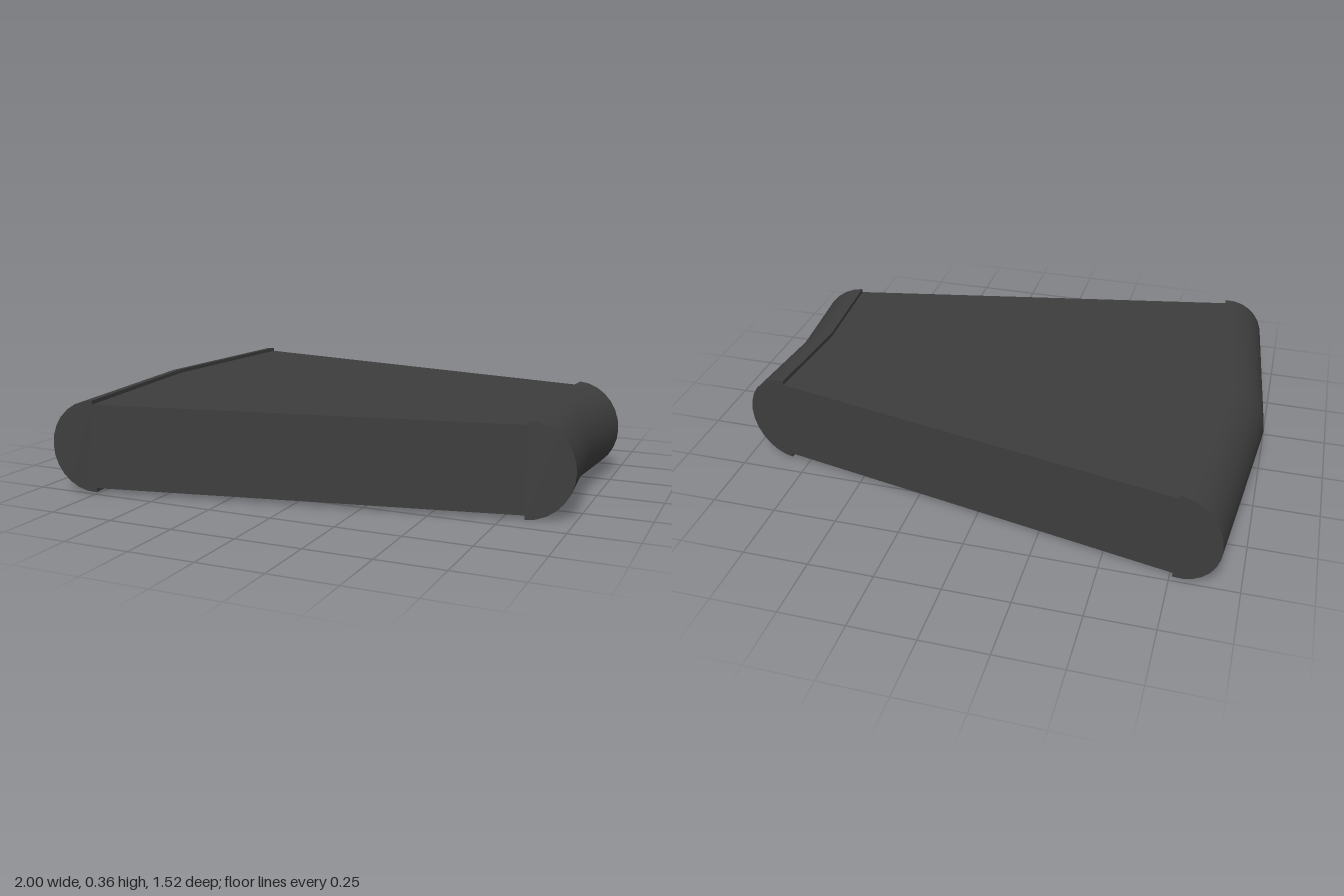
import * as THREE from 'three';
import { toCreasedNormals } from 'three/addons/utils/BufferGeometryUtils.js';

// Half width of the wedge at a given x: wide at -x, narrow at +x
const halfWidth = (x) => 0.377 + (1 - x) * 0.199;

// Lofts counter-clockwise xy profiles from the back edge through the middle to the front edge
function loft(sideProfile, midProfile) {
  const n = sideProfile.length;
  const loops = [-1, 0, 1].map((s) =>
    (s ? sideProfile : midProfile).map(([x, y]) => [x, y, s * halfWidth(x)]));
  const pos = [];
  const tri = (...pts) => pts.forEach((p) => pos.push(...p));
  for (let k = 0; k < 2; k++) {
    for (let i = 0; i < n; i++) {
      const j = (i + 1) % n;
      const a = loops[k][i], b = loops[k][j], c = loops[k + 1][j], d = loops[k + 1][i];
      tri(a, b, c);
      tri(a, c, d);
    }
  }
  // flat side faces
  for (let i = 1; i < n - 1; i++) {
    tri(loops[2][0], loops[2][i], loops[2][i + 1]);
    tri(loops[0][0], loops[0][i + 1], loops[0][i]);
  }
  const g = new THREE.BufferGeometry();
  g.setAttribute('position', new THREE.Float32BufferAttribute(pos, 3));
  return toCreasedNormals(g, 0.6);
}

// Half-round profile from an inner edge to an outer tip
function roundProfile(inner, outer, segments = 14) {
  const pts = [];
  const dir = Math.sign(outer - inner);
  for (let i = 0; i <= segments; i++) {
    const a = dir * (-Math.PI / 2 + (Math.PI * i) / segments);
    pts.push([inner + (outer - inner) * Math.cos(a), 0.179 + 0.179 * Math.sin(a)]);
  }
  return pts;
}

const slabProfile = (x0, x1) => [[x0, 0.017], [x1, 0.017], [x1, 0.343], [x0, 0.343]];

export function createModel() {
  const group = new THREE.Group();
  const charcoal = new THREE.MeshStandardMaterial({ color: 0x3d3d3d });
  charcoal.name = 'charcoal';

  const add = (name, geometry) => {
    const mesh = new THREE.Mesh(geometry, charcoal);
    mesh.name = name;
    group.add(mesh);
  };

  // flat tapered slab, slightly recessed between the raised ends
  add('slab', loft(slabProfile(-0.76, 0.83), slabProfile(-0.835, 0.8)));
  // wide outward-bent end and narrow inward-bent end
  add('wideRoundedEnd', loft(roundProfile(-0.76, -0.925), roundProfile(-0.835, -1)));
  add('narrowRoundedEnd', loft(roundProfile(0.83, 1), roundProfile(0.8, 0.965)));
  return group;
}
